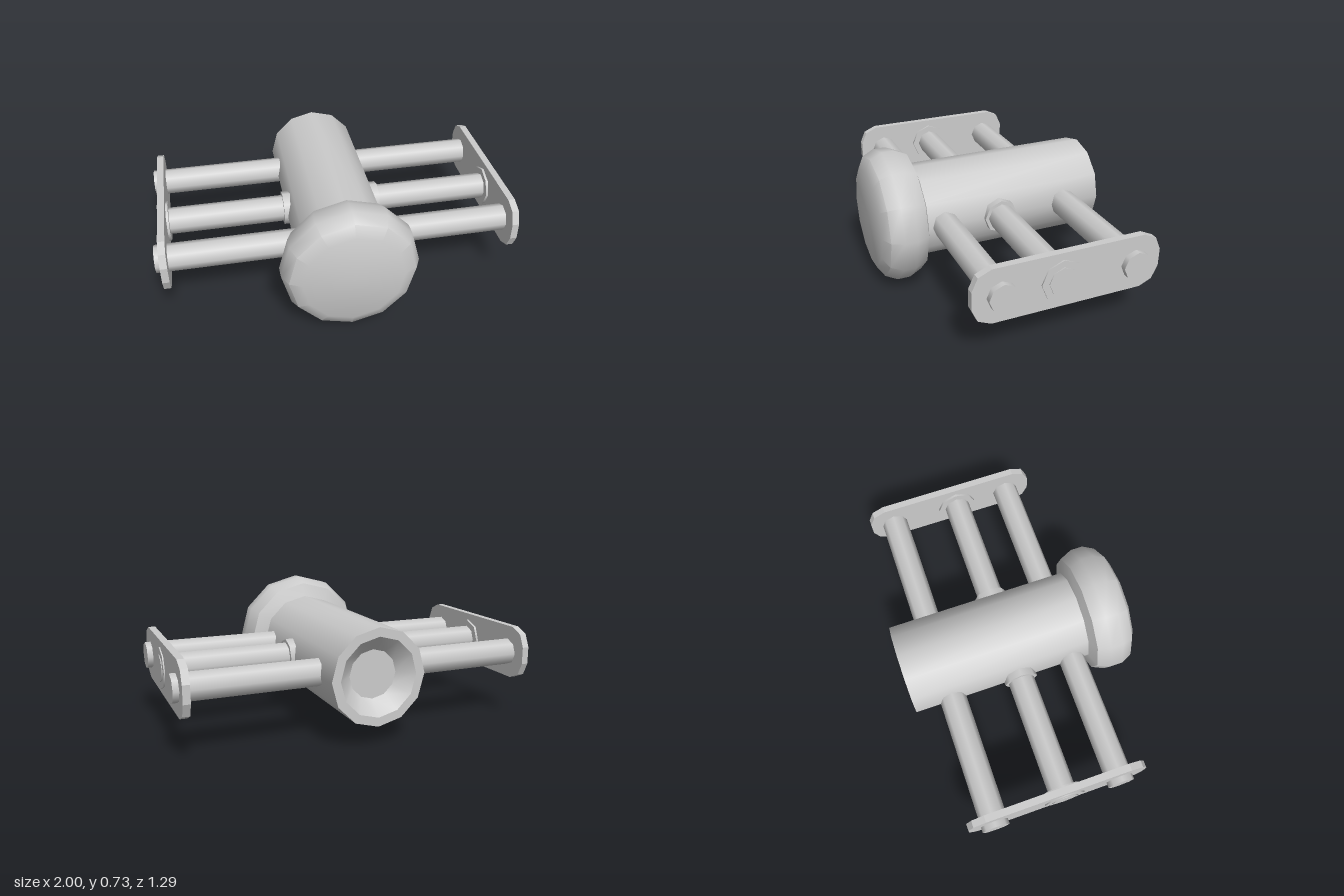
import * as THREE from 'three';
import { toCreasedNormals } from 'three/addons/utils/BufferGeometryUtils.js';

const AXIS_Y = 0.37; // height of every axle and of the barrel
const material = new THREE.MeshStandardMaterial({ color: 0xcccccc });

function addMesh(parent, name, geometry) {
  const mesh = new THREE.Mesh(geometry, material);
  mesh.name = name;
  parent.add(mesh);
  return mesh;
}

// 12-sided turned part along z, profile given as [radius, z]
function turned(profile) {
  const points = profile.map(([r, z]) => new THREE.Vector2(r, z));
  const geometry = new THREE.LatheGeometry(points, 12).rotateX(Math.PI / 2);
  return toCreasedNormals(geometry, 0.75).translate(0, AXIS_Y, 0);
}

// 8-sided bar along x between two distances from the centre
function bar(side, radius, from, to, z) {
  return new THREE.CylinderGeometry(radius, radius, to - from, 8)
    .rotateZ(Math.PI / 2)
    .translate(side * (from + to) / 2, AXIS_Y, z);
}

// Long plate with each corner cut in two facets
function plateGeometry(side) {
  const l = 0.502, h = 0.147;
  const corner = [[l, h - 0.1], [l - 0.031, h - 0.031], [l - 0.1, h]];
  const quadrants = [[1, 1], [-1, 1], [-1, -1], [1, -1]];
  const outline = quadrants.flatMap(([sx, sy]) => {
    const pts = corner.map(([x, y]) => new THREE.Vector2(x * sx, y * sy));
    return sx * sy > 0 ? pts : pts.reverse();
  });
  return new THREE.ExtrudeGeometry(new THREE.Shape(outline), { depth: 0.038, bevelEnabled: false })
    .translate(0, 0, -0.019)
    .rotateY(Math.PI / 2)
    .translate(side * 0.95, AXIS_Y + 0.003, -0.067);
}

export function createModel() {
  const model = new THREE.Group();
  model.name = 'model';

  // Barrel with a tapered recess at the back
  addMesh(model, 'barrel', turned([
    [0, -0.57], [0.13, -0.57], [0.21, -0.645], [0.258, -0.645], [0.258, 0.4],
  ]));

  // Rounded cap at the front
  addMesh(model, 'cap', turned([
    [0.258, 0.385], [0.335, 0.41], [0.367, 0.48], [0.367, 0.55],
    [0.335, 0.615], [0.27, 0.645], [0, 0.645],
  ]));

  // Three rods, collars and an end plate on each side
  for (const [name, side] of [['left', 1], ['right', -1]]) {
    const arm = new THREE.Group();
    arm.name = name + 'Arm';
    model.add(arm);
    addMesh(arm, 'frontRod', bar(side, 0.075, 0.2, 1, 0.286));
    addMesh(arm, 'middleRod', bar(side, 0.075, 0.2, 0.98, -0.03));
    addMesh(arm, 'rearRod', bar(side, 0.075, 0.2, 1, -0.427));
    addMesh(arm, 'innerCollar', bar(side, 0.095, 0.2, 0.277, -0.03));
    addMesh(arm, 'outerCollar', bar(side, 0.113, 0.918, 0.976, -0.03));
    addMesh(arm, 'endPlate', plateGeometry(side));
  }
  return model;
}
